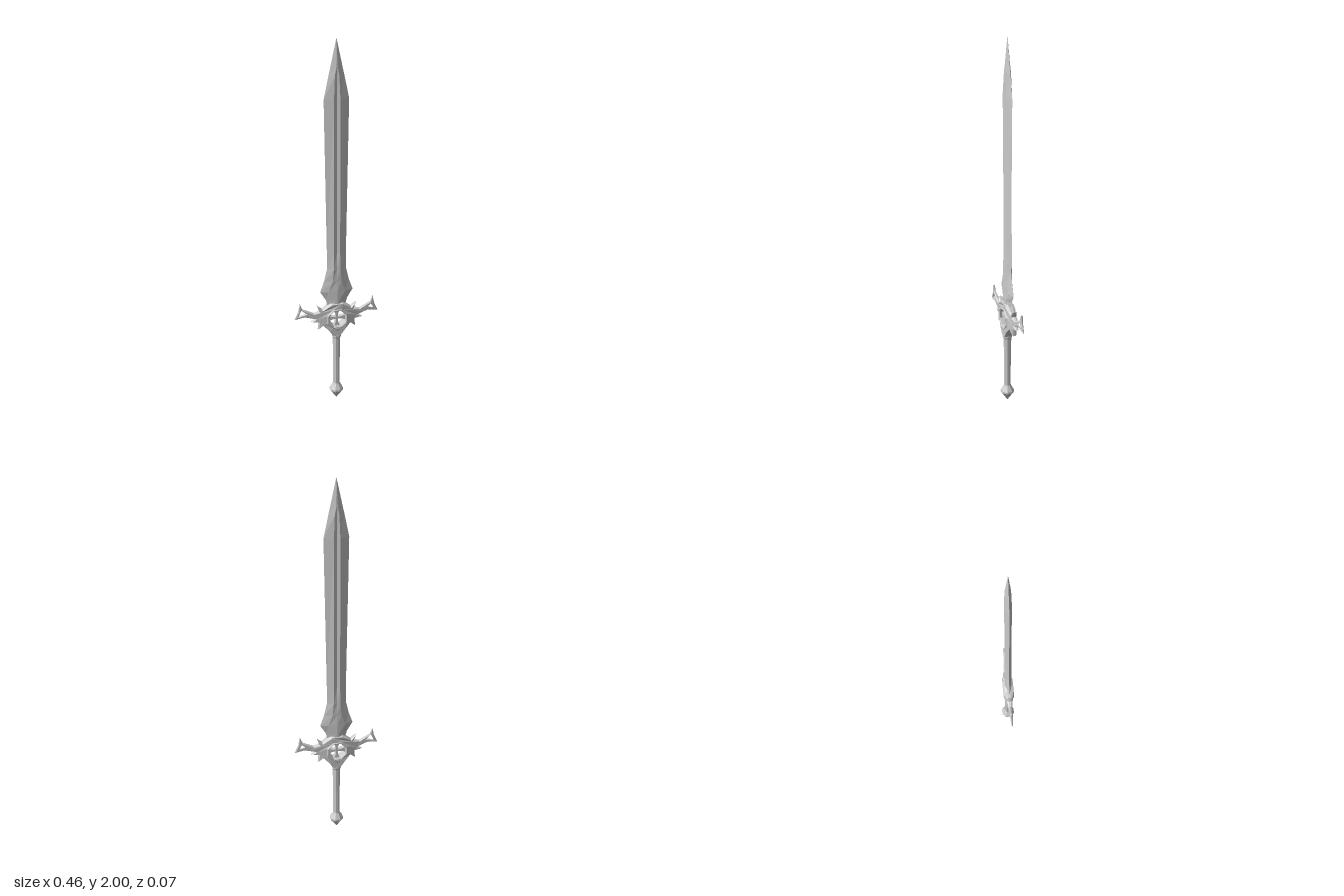
import * as THREE from 'three';

const steel = new THREE.MeshStandardMaterial({ color: 0xcccccc, flatShading: true });
const HUB_Y = 0.502;

function addMesh(parent, name, geometry) {
  geometry.computeVertexNormals();
  const mesh = new THREE.Mesh(geometry, steel);
  mesh.name = name;
  parent.add(mesh);
  return mesh;
}

const toPath = (Type, pts) => new Type(pts.map(([x, y]) => new THREE.Vector2(x, y)));

// Surface of revolution around y from [radius, y] pairs
const lathe = (pts, sides) =>
  new THREE.LatheGeometry(pts.map(([r, y]) => new THREE.Vector2(r, y)), sides, Math.PI / sides);

// Blade lofted from sections: [y, edge half width, ridge half width, ridge depth, centre depth]
function bladeGeometry() {
  const sections = [
    [0.56, 0.045, 0.010, 0.018, 0.020],
    [0.61, 0.058, 0.014, 0.018, 0.020],
    [0.66, 0.088, 0.045, 0.013, 0.019],
    [0.72, 0.067, 0.024, 0.016, 0.016],
    [0.79, 0.051, 0.018, 0.017, 0.014],
    [0.88, 0.051, 0.016, 0.016, 0.010],
    [1.70, 0.064, 0.016, 0.016, 0.010],
    [1.82, 0.039, 0.011, 0.014, 0.011],
    [1.86, 0.030, 0.004, 0.012, 0.012],
    [2.00, 0, 0, 0, 0],
  ];
  const positions = [], index = [];
  sections.forEach(([y, w, r, t, c]) => {
    for (const [x, z] of [[w, 0], [r, t], [0, c], [-r, t], [-w, 0], [-r, -t], [0, -c], [r, -t]]) {
      positions.push(x, y, z);
    }
  });
  for (let s = 0; s < sections.length - 1; s++) {
    for (let i = 0; i < 8; i++) {
      const a = s * 8 + i, b = s * 8 + (i + 1) % 8;
      index.push(a, a + 8, b, b, a + 8, b + 8);
    }
  }
  const g = new THREE.BufferGeometry();
  g.setAttribute('position', new THREE.Float32BufferAttribute(positions, 3));
  g.setIndex(index);
  return g;
}

// Half depth of the guard at a distance from the centre line
function guardDepth(x) {
  const d = Math.abs(x);
  if (d < 0.05) return 0.024;
  if (d < 0.1) return THREE.MathUtils.mapLinear(d, 0.05, 0.1, 0.024, 0.012);
  return THREE.MathUtils.mapLinear(d, 0.1, 0.23, 0.012, 0.004);
}

// Spiked, winged plate with a pierced hub and pierced wing tips
function guardGeometry() {
  const half = [
    [0.030, 0.592], [0.052, 0.578], [0.078, 0.558], [0.107, 0.581], [0.094, 0.548],
    [0.125, 0.541], [0.155, 0.556], [0.185, 0.571], [0.199, 0.606], [0.207, 0.560],
    [0.228, 0.514], [0.175, 0.524], [0.145, 0.515], [0.115, 0.505], [0.140, 0.490],
    [0.098, 0.483], [0.102, 0.440], [0.074, 0.463], [0.045, 0.430], [0.020, 0.395],
  ];
  const mirrored = half.map(([x, y]) => [-x, y]).reverse();
  const shape = toPath(THREE.Shape, [...half, ...mirrored]);
  const hubHole = [];
  for (let i = 0; i < 8; i++) {
    const a = (i + 0.5) * Math.PI / 4;
    hubHole.push([0.053 * Math.cos(a), HUB_Y + 0.053 * Math.sin(a)]);
  }
  shape.holes.push(toPath(THREE.Path, hubHole));
  for (const s of [1, -1]) {
    shape.holes.push(toPath(THREE.Path, [[s * 0.191, 0.566], [s * 0.206, 0.531], [s * 0.164, 0.543]]));
  }
  const g = new THREE.ExtrudeGeometry(shape, {
    depth: 0.8, bevelEnabled: true, bevelThickness: 0.6, bevelSize: 0.005, bevelOffset: -0.005, bevelSegments: 1,
  });
  g.translate(0, 0, -0.4);
  const p = g.attributes.position;
  for (let i = 0; i < p.count; i++) p.setZ(i, p.getZ(i) * guardDepth(p.getX(i)));
  return g;
}

export function createModel() {
  const sword = new THREE.Group();
  sword.name = 'sword';

  addMesh(sword, 'blade', bladeGeometry());
  addMesh(sword, 'guard', guardGeometry());

  // Raised octagonal rim around the hub opening
  const rim = lathe([[0.049, -0.024], [0.055, -0.028], [0.066, -0.018], [0.066, 0.018],
    [0.055, 0.028], [0.049, 0.024], [0.049, -0.024]], 8);
  rim.rotateX(Math.PI / 2);
  addMesh(sword, 'hubRim', rim).position.y = HUB_Y;

  // Flared cross in the opening
  const cross = new THREE.Group();
  cross.name = 'hubCross';
  cross.position.y = HUB_Y;
  sword.add(cross);
  for (let i = 0; i < 4; i++) {
    const arm = new THREE.ExtrudeGeometry(
      toPath(THREE.Shape, [[-0.004, 0], [0.004, 0], [0.007, 0.025], [0.016, 0.049], [-0.016, 0.049], [-0.007, 0.025]]),
      { depth: 0.024, bevelEnabled: false });
    arm.translate(0, 0, -0.012);
    addMesh(cross, 'crossArm', arm).rotation.z = i * Math.PI / 2;
  }

  // Throat between guard and grip
  addMesh(sword, 'collar', lathe([[0, 0.376], [0.020, 0.378], [0.025, 0.388], [0.025, 0.398],
    [0.020, 0.408], [0.028, 0.440], [0.026, 0.452], [0, 0.452]], 8));
  addMesh(sword, 'grip', lathe([[0.018, 0.08], [0.018, 0.24], [0.021, 0.39]], 8));
  addMesh(sword, 'pommel', lathe([[0, 0], [0.037, 0.052], [0.037, 0.062], [0.023, 0.086], [0.018, 0.096], [0, 0.096]], 8));

  return sword;
}
